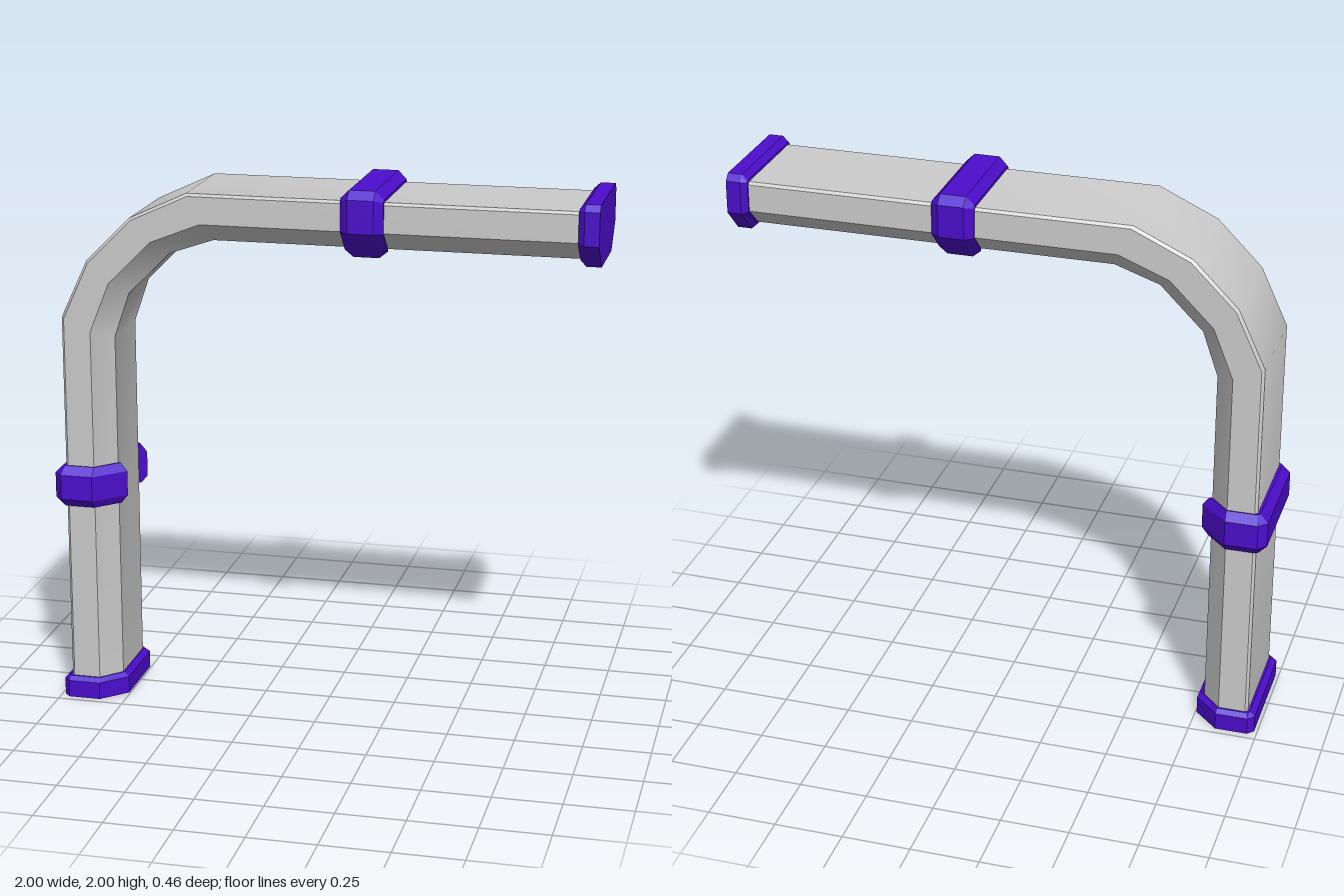
import * as THREE from 'three';
import { toCreasedNormals } from 'three/addons/utils/BufferGeometryUtils.js';

const grey = new THREE.MeshStandardMaterial({ color: 0xcccccc });
const purple = new THREE.MeshStandardMaterial({ color: 0x4b0dcc });

// Sections are [depth from outer face, z] for the +z half; mirror to close them.
const mirror = (half) => [...half, ...half.map(([d, z]) => [d, -z]).reverse()];
const pipeSection = mirror([[0, 0.19], [0.01, 0.2], [0.11, 0.2], [0.18, 0.125]]);
const capWide = mirror([[-0.028, 0.2], [-0.005, 0.223], [0.115, 0.223], [0.205, 0.135]]);
const capNarrow = mirror([[-0.008, 0.195], [0, 0.207], [0.112, 0.207], [0.185, 0.128]]);

// Closed-ended skin over rings of points, each ring counter-clockwise about the path.
function loft(rings, crease) {
  const n = rings[0].length, last = rings.length - 1, index = [];
  for (let i = 0; i < last; i++) {
    for (let j = 0; j < n; j++) {
      const k = (j + 1) % n;
      const a = i * n + j, b = i * n + k, c = b + n, d = a + n;
      index.push(a, b, c, a, c, d);
    }
  }
  for (let j = 1; j < n - 1; j++) {
    index.push(0, j + 1, j, last * n, last * n + j, last * n + j + 1);
  }
  const geometry = new THREE.BufferGeometry();
  geometry.setAttribute('position', new THREE.Float32BufferAttribute(rings.flat(2), 3));
  geometry.setIndex(index);
  return toCreasedNormals(geometry, crease);
}

// Straight cap from [section, position along the pipe] steps.
function capGeometry(steps) {
  return loft(steps.map(([section, t]) => section.map(([d, z]) => [d, t, z])), 0.1);
}

// Bevelled strap wrapping all faces of the pipe except the inner one.
function strapGeometry() {
  const w = 0.078, w2 = 0.047;
  const half = [ // [inside, shoulder, crest] at each corner
    [[0.17, 0.125], [0.19, 0.125], [0.215, 0.125]],
    [[0.11, 0.19], [0.112, 0.205], [0.11, 0.231]],
    [[0.01, 0.19], [0, 0.205], [-0.01, 0.231]],
    [[0.005, 0.18], [-0.01, 0.195], [-0.04, 0.2]],
  ];
  const flip = (corner) => corner.map(([d, z]) => [d, -z]);
  const corners = [...half.map(flip), ...[...half].reverse()];
  const rings = corners.map(([inside, shoulder, crest]) => [
    [inside, -w], [inside, w], [shoulder, w], [crest, w2], [crest, -w2], [shoulder, -w],
  ].map(([[d, z], t]) => [d, t, z]));
  return loft(rings, 0.1);
}

export function createModel() {
  const model = new THREE.Group();
  model.name = 'pipeElbow';

  const add = (name, geometry, material, parent = model) => {
    const mesh = new THREE.Mesh(geometry, material);
    mesh.name = name;
    parent.add(mesh);
  };

  // Bent pipe: outer-edge point and the vector across to the inner edge
  const path = [
    [-0.96, 0.01, 0.18, 0],
    [-0.96, 1.48, 0.18, -0.08],
    [-0.86, 1.695, 0.137, -0.13],
    [-0.695, 1.86, 0.13, -0.137],
    [-0.48, 1.96, 0.08, -0.18],
    [0.99, 1.96, 0, -0.18],
  ];
  add('pipe', loft(path.map(([x, y, vx, vy]) => pipeSection.map(([d, z]) =>
    [x + vx * d / 0.18, y + vy * d / 0.18, z])), 0.6), grey);

  // Local frames of the two straight runs
  const upright = new THREE.Group();
  upright.name = 'uprightFittings';
  upright.position.x = -0.96;
  const arm = new THREE.Group();
  arm.name = 'armFittings';
  arm.position.y = 1.96;
  arm.rotation.z = -Math.PI / 2;
  model.add(upright, arm);

  // End caps, bevelled towards the pipe
  add('baseCap', capGeometry([[capWide, 0], [capWide, 0.065], [capNarrow, 0.08]]), purple, upright);
  add('armCap', capGeometry([[capNarrow, 0.925], [capWide, 0.947], [capWide, 1]]), purple, arm);

  // Straps around the middle of each run
  const strap = strapGeometry();
  add('uprightStrap', strap.clone().translate(0, 0.838, 0), purple, upright);
  add('armStrap', strap.clone().translate(0, 0.162, 0), purple, arm);

  return model;
}
